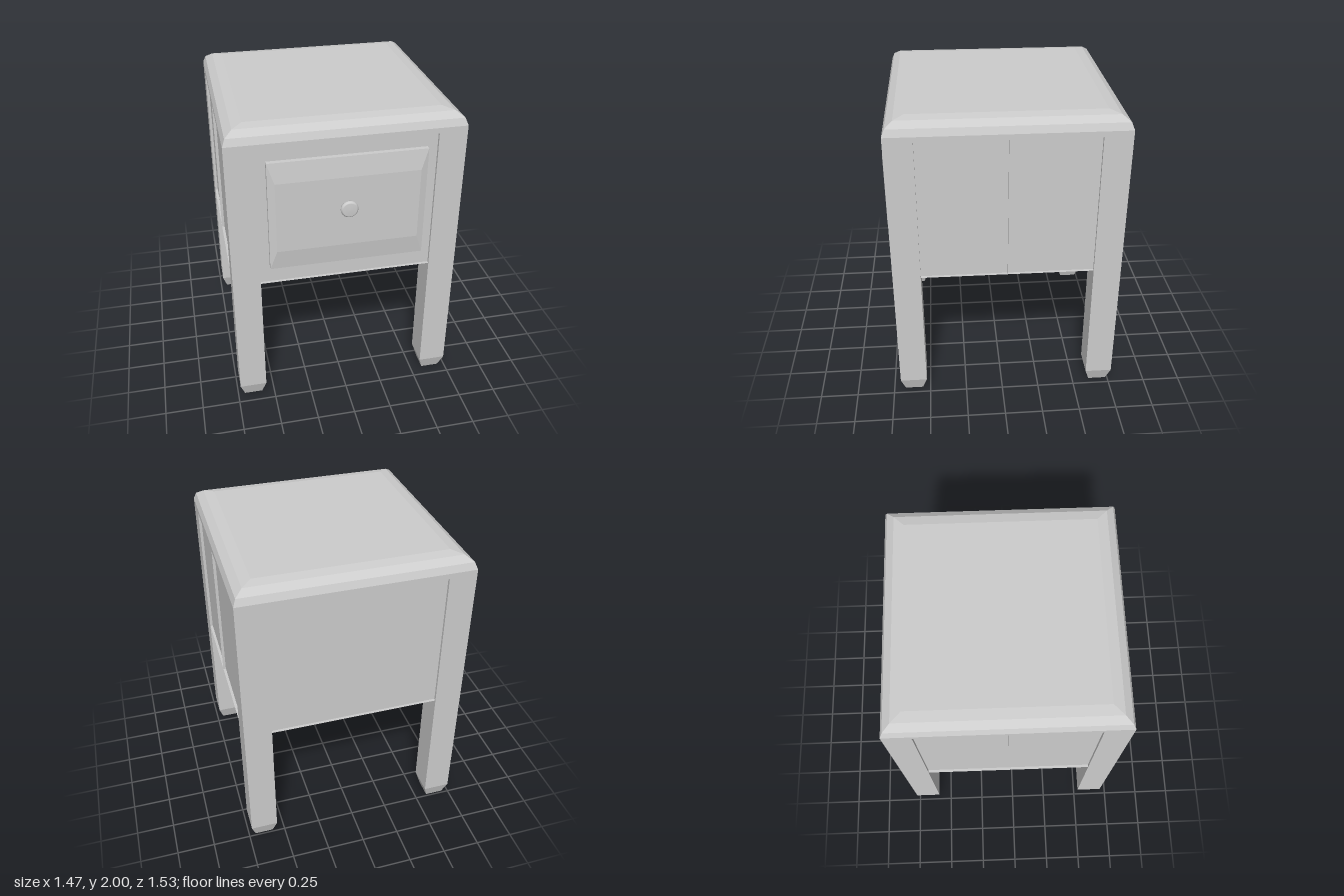
import * as THREE from 'three';

const material = new THREE.MeshStandardMaterial({ color: 0xcccccc, flatShading: true });
const smooth = new THREE.MeshStandardMaterial({ color: 0xcccccc });
const thin = new THREE.MeshStandardMaterial({ color: 0xcccccc, side: THREE.DoubleSide });

const HALF = 0.733;            // half width and depth of the carcass
const ZC = -0.032;             // carcass centre in z (the knob reaches further forward)
const LEG = 0.178;             // leg thickness
const RECESS = 0.018;          // how far the panels sit behind the legs
const BOTTOM = 0.94, RAIL = 1.875, SHOULDER = 1.91;

// Closed solid from rectangular rings [halfX, halfZ, y], bottom to top
function loft(rings) {
  const pos = [], idx = [];
  for (const [hx, hz, y] of rings) pos.push(hx, y, hz, hx, y, -hz, -hx, y, -hz, -hx, y, hz);
  const quad = (a, b, c, d) => idx.push(a, b, c, a, c, d);
  for (let r = 0; r < rings.length - 1; r++) {
    for (let i = 0; i < 4; i++) {
      const j = (i + 1) % 4, p = r * 4, q = p + 4;
      quad(p + i, p + j, q + j, q + i);
    }
  }
  const t = (rings.length - 1) * 4;
  quad(t, t + 1, t + 2, t + 3);
  quad(3, 2, 1, 0);
  const g = new THREE.BufferGeometry();
  g.setAttribute('position', new THREE.Float32BufferAttribute(pos, 3));
  g.setIndex(idx);
  const flat = g.toNonIndexed();
  flat.computeVertexNormals();
  return flat;
}

export function createModel() {
  const model = new THREE.Group();
  model.name = 'nightstand';
  const add = (name, geometry, x, y, z, mat = material) => {
    const mesh = new THREE.Mesh(geometry, mat);
    mesh.name = name;
    mesh.position.set(x, y, z);
    model.add(mesh);
    return mesh;
  };

  // Table top with a rounded, mitred edge in three facets
  const topRings = [[HALF, HALF, RAIL]];
  for (let i = 0; i <= 3; i++) {
    const a = (i / 3) * Math.PI / 2;
    const h = HALF - 0.13 * (1 - Math.cos(a));
    topRings.push([h, h, SHOULDER + 0.09 * Math.sin(a)]);
  }
  add('tableTop', loft(topRings), 0, 0, ZC);

  // Four square legs with tapered feet
  const h = LEG / 2, foot = h - 0.029;
  const legGeometry = loft([[foot, foot, 0], [h, h, 0.092], [h, h, RAIL]]);
  for (const sx of [-1, 1]) {
    for (const sz of [-1, 1]) {
      const name = (sz > 0 ? 'front' : 'back') + (sx > 0 ? 'Left' : 'Right') + 'Leg';
      add(name, legGeometry, sx * (HALF - h), 0, ZC + sz * (HALF - h));
    }
  }

  // Recessed cabinet panels
  const inner = 2 * (HALF - RECESS), cabinetHeight = RAIL - BOTTOM;
  add('cabinet', new THREE.BoxGeometry(inner, cabinetHeight - 0.002, inner),
    0, (RAIL + BOTTOM) / 2 + 0.001, ZC);

  // Thin bottom board, flush with the outside of the legs
  add('bottomBoard', new THREE.PlaneGeometry(2 * HALF - 0.002, 2 * HALF - 0.002), 0, BOTTOM, ZC, thin)
    .rotation.x = Math.PI / 2;

  // Thin upright fin in the middle of each side panel
  for (const s of [-1, 1]) {
    add(s > 0 ? 'leftSideFin' : 'rightSideFin', new THREE.PlaneGeometry(RECESS, cabinetHeight),
      s * (HALF - RECESS / 2), (RAIL + BOTTOM) / 2, ZC, thin);
  }

  // Drawer front with a raised, bevelled field
  const drawerY = 1.422;
  add('drawerFront', loft([[0.492, 0.368, 0.67], [0.492, 0.368, 0.713], [0.448, 0.236, 0.729]]),
    0, drawerY, 0).rotation.x = Math.PI / 2;

  // Round knob on a short neck
  const profile = [[0.032, 0.715], [0.032, 0.732], [0.046, 0.734], [0.053, 0.739], [0.055, 0.746],
    [0.054, 0.754], [0.048, 0.761], [0.044, 0.764], [0, 0.765]].map(p => new THREE.Vector2(...p));
  add('drawerKnob', new THREE.LatheGeometry(profile, 32), 0, 1.45, 0, smooth).rotation.x = Math.PI / 2;

  return model;
}
